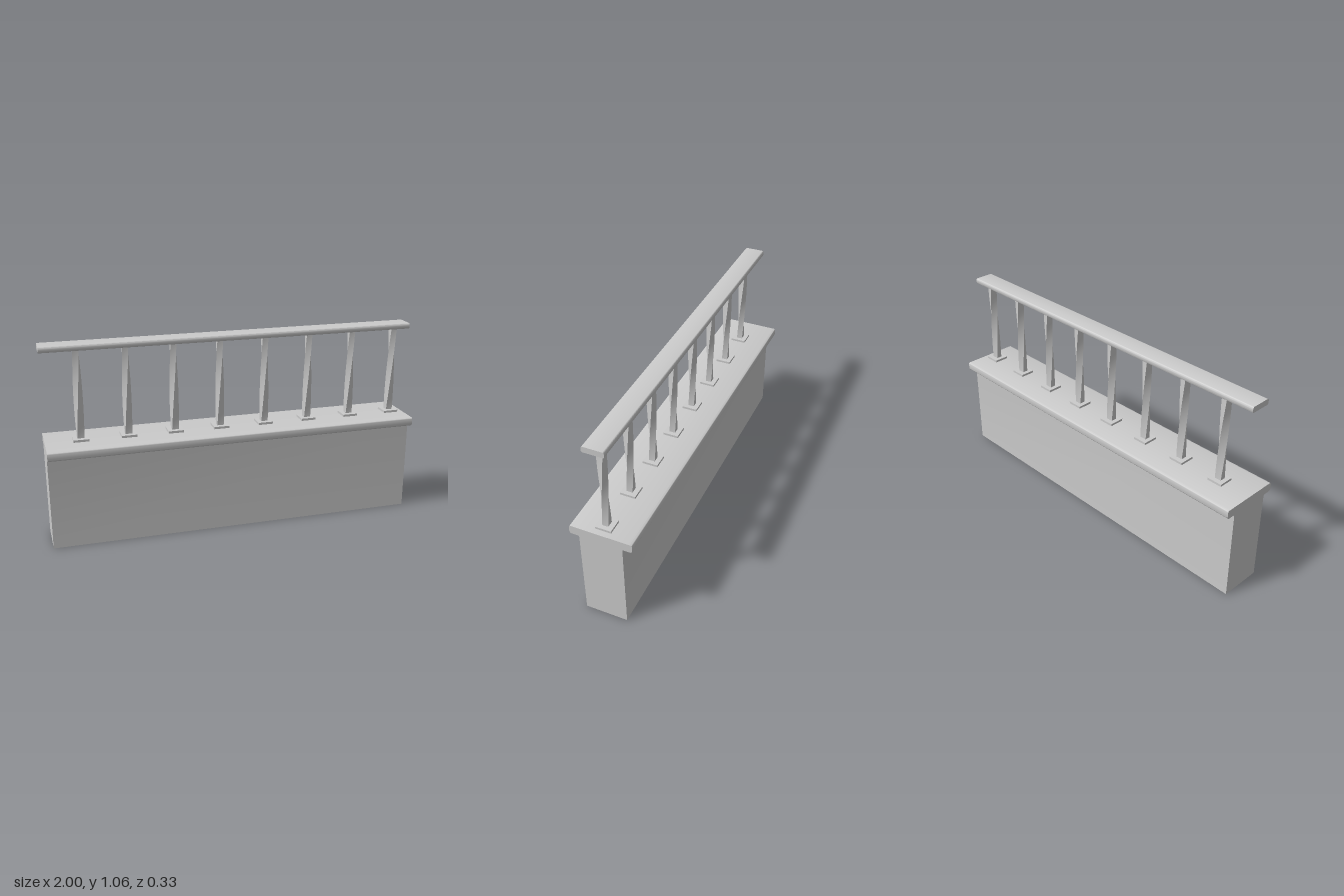
import * as THREE from 'three';
import { toCreasedNormals } from 'three/addons/utils/BufferGeometryUtils.js';

const LENGTH = 2;
const material = new THREE.MeshStandardMaterial({ color: 0xcccccc, side: THREE.DoubleSide });

// Sweeps a cross-section (drawn in z and y) along the full length in x
function sweep(shape, openBottom = false) {
  const geo = new THREE.ExtrudeGeometry(shape, { depth: LENGTH, bevelEnabled: false, curveSegments: 6 });
  geo.translate(0, 0, -LENGTH / 2).rotateY(Math.PI / 2);
  const p = geo.attributes.position;
  const kept = [];
  for (let i = 0; i < p.count; i += 3) {
    const onGround = [0, 1, 2].every((k) => Math.abs(p.getY(i + k)) < 1e-5);
    if (openBottom && onGround) continue;
    for (let k = 0; k < 3; k++) kept.push(p.getX(i + k), p.getY(i + k), p.getZ(i + k));
  }
  const out = new THREE.BufferGeometry();
  out.setAttribute('position', new THREE.Float32BufferAttribute(kept, 3));
  return toCreasedNormals(out, 0.6);
}

// Closed outline with every corner [x, y, radius] rounded by a curve
function roundedOutline(corners) {
  const shape = new THREE.Shape();
  const n = corners.length;
  const toward = (a, b, r) => {
    const d = Math.hypot(b[0] - a[0], b[1] - a[1]);
    return [a[0] + ((b[0] - a[0]) * r) / d, a[1] + ((b[1] - a[1]) * r) / d];
  };
  corners.forEach((c, i) => {
    const start = toward(c, corners[(i + n - 1) % n], c[2]);
    const end = toward(c, corners[(i + 1) % n], c[2]);
    if (i === 0) shape.moveTo(...start);
    else shape.lineTo(...start);
    if (c[2] > 0) shape.quadraticCurveTo(c[0], c[1], ...end);
  });
  shape.closePath();
  return shape;
}

// Square-edged bar whose section turns a quarter turn from bottom to top
function twistedBar(width, height, depth, turn) {
  const geo = new THREE.BoxGeometry(width, height, depth, 1, 20, 1);
  const p = geo.attributes.position;
  const v = new THREE.Vector3();
  const up = new THREE.Vector3(0, 1, 0);
  for (let i = 0; i < p.count; i++) {
    v.fromBufferAttribute(p, i);
    v.applyAxisAngle(up, turn * (v.y / height - 0.5));
    p.setXYZ(i, v.x, v.y, v.z);
  }
  return toCreasedNormals(geo, 0.6);
}

export function createModel() {
  const group = new THREE.Group();
  group.name = 'balustradeWall';

  const add = (name, geometry, parent = group) => {
    const mesh = new THREE.Mesh(geometry, material);
    mesh.name = name;
    parent.add(mesh);
    return mesh;
  };

  // Wall with overhanging coping, hollow underneath
  const half = [[0.112, 0, 0], [0.112, 0.499, 0.01], [0.163, 0.499, 0.016], [0.163, 0.547, 0.012]];
  const mirrored = half.map(([z, y, r]) => [-z, y, r]).reverse();
  add('wallAndCoping', sweep(roundedOutline([...half, ...mirrored]), true));

  // Handrail
  add('handrail', sweep(roundedOutline([
    [-0.056, 1.029, 0.01], [0.056, 1.029, 0.01], [0.056, 1.06, 0.012], [-0.056, 1.06, 0.012],
  ])));

  // Balusters on small foot plates
  const plateGeo = new THREE.BoxGeometry(0.082, 0.013, 0.082);
  const barGeo = twistedBar(0.031, 0.475, 0.036, Math.PI / 2);
  for (let i = 0; i < 8; i++) {
    const baluster = new THREE.Group();
    baluster.name = `baluster${i + 1}`;
    baluster.position.x = -0.815 + i * 0.249;
    add('footPlate', plateGeo, baluster).position.y = 0.5525;
    add('twistedBar', barGeo, baluster).position.y = 0.7935;
    group.add(baluster);
  }

  return group;
}
